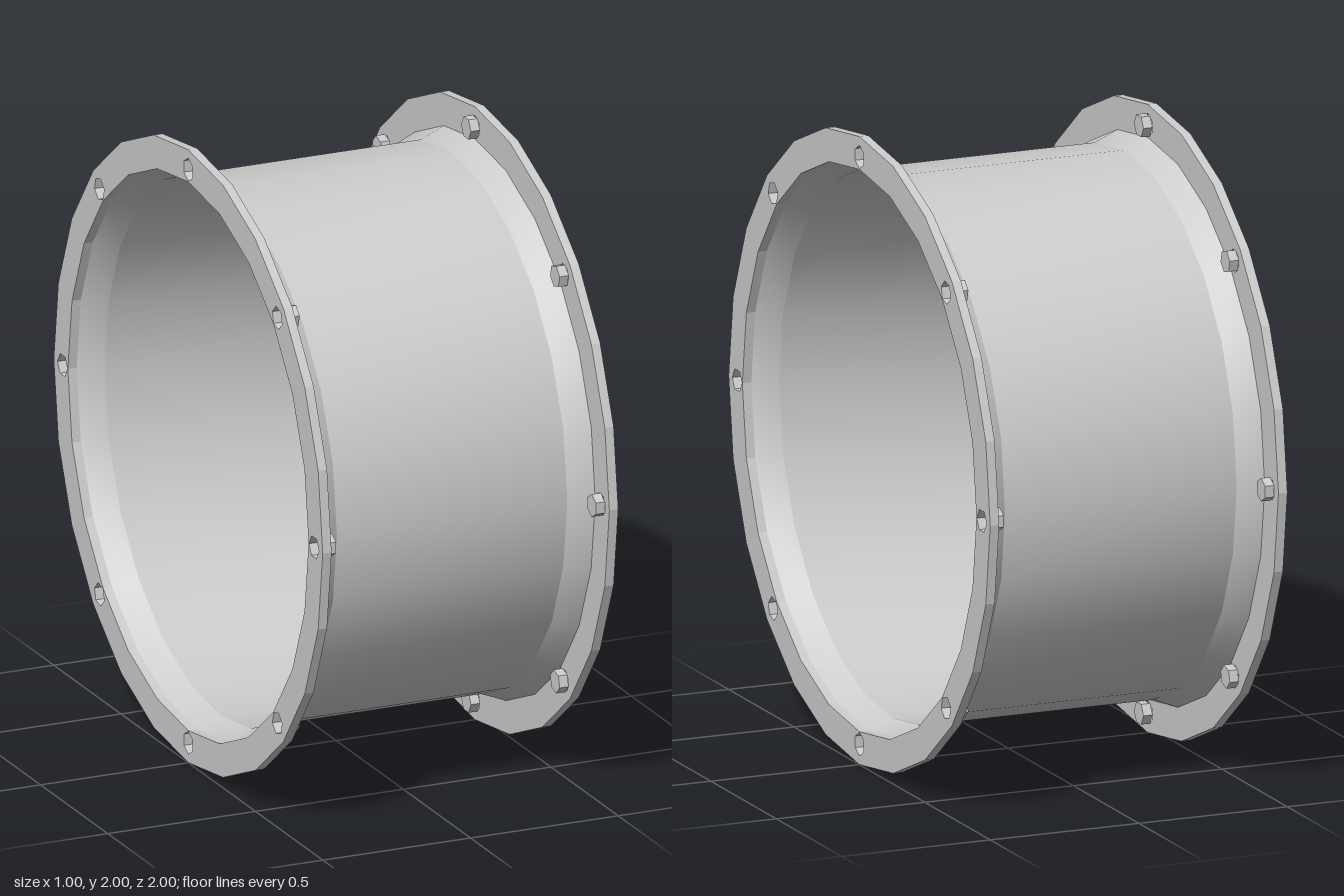
import * as THREE from 'three';
import { toCreasedNormals } from 'three/addons/utils/BufferGeometryUtils.js';

const SIDES = 24, BOLTS = 8;
const FACE = 0.5, THICK = 0.03;      // outer flange face and flange thickness
const BORE = 0.895, BARREL = 0.863;  // flange bore and barrel radius
const BOLT_CIRCLE = 0.935, BOLT_R = 0.037;

// Corners of a regular polygon, first corner at the given angle
function polygon(n, r, cx = 0, cy = 0, start = 0) {
  return Array.from({ length: n }, (_, i) => {
    const a = start + (i / n) * Math.PI * 2;
    return new THREE.Vector2(cx + r * Math.cos(a), cy + r * Math.sin(a));
  });
}

export function createModel() {
  const model = new THREE.Group();
  model.name = 'flangedPipe';
  const grey = new THREE.MeshStandardMaterial({ color: 0xcccccc });
  const thin = new THREE.MeshStandardMaterial({ color: 0xcccccc, side: THREE.DoubleSide });

  // Thin barrel flaring out to both flanges
  const profile = [[BORE, -0.47], [BARREL, -0.39], [BARREL, 0.39], [BORE, 0.47]]
    .map(([r, y]) => new THREE.Vector2(r, y));
  const barrelGeo = toCreasedNormals(new THREE.LatheGeometry(profile, SIDES), 0.32);
  barrelGeo.rotateZ(-Math.PI / 2);
  const barrel = new THREE.Mesh(barrelGeo, thin);
  barrel.name = 'barrel';
  model.add(barrel);

  // Flange ring with hexagonal pockets
  const ring = new THREE.Shape(polygon(SIDES, 1));
  ring.holes.push(new THREE.Path(polygon(SIDES, BORE).reverse()));
  const angles = Array.from({ length: BOLTS }, (_, i) => (i / BOLTS) * Math.PI * 2);
  for (const a of angles) {
    const hex = polygon(6, BOLT_R, BOLT_CIRCLE * Math.cos(a), BOLT_CIRCLE * Math.sin(a), a);
    ring.holes.push(new THREE.Path(hex.reverse()));
  }
  const ringGeo = new THREE.ExtrudeGeometry(ring, { depth: THICK, bevelEnabled: false });
  ringGeo.rotateY(Math.PI / 2).translate(FACE - THICK, 0, 0);

  // Hex bolt head lying along x, with a corner pointing outward (+y)
  const boltGeo = new THREE.CylinderGeometry(BOLT_R, BOLT_R, THICK, 6).toNonIndexed();
  boltGeo.computeVertexNormals();
  boltGeo.rotateZ(-Math.PI / 2);

  // Both ends, the second turned about the vertical axis
  for (const side of ['left', 'right']) {
    const end = new THREE.Group();
    end.name = side + 'End';
    const flange = new THREE.Mesh(ringGeo, grey);
    flange.name = side + 'Flange';
    end.add(flange);
    for (const a of angles) {
      const bolt = new THREE.Mesh(boltGeo, grey);
      bolt.name = side + 'Bolt';
      bolt.position.set(FACE - 1.5 * THICK, BOLT_CIRCLE * Math.cos(a), BOLT_CIRCLE * Math.sin(a));
      bolt.rotation.x = a;
      end.add(bolt);
    }
    if (side === 'right') end.rotation.y = Math.PI;
    model.add(end);
  }

  // Stand the wheel on the ground
  for (const part of model.children) part.position.y = 1;
  return model;
}
